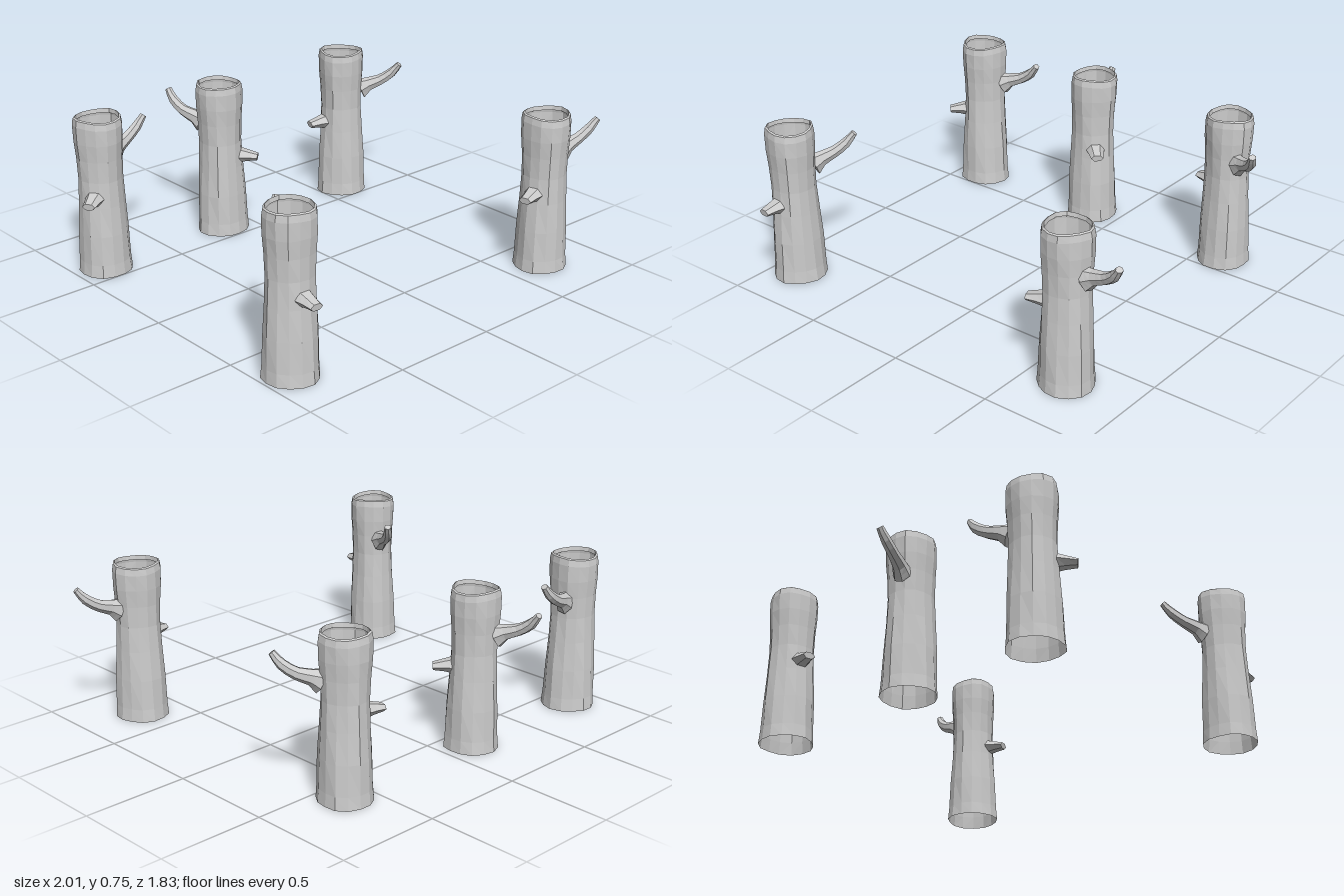
import * as THREE from 'three';

const material = new THREE.MeshStandardMaterial({ color: 0xcccccc, flatShading: true, side: THREE.DoubleSide });
const V = (x, y, z) => new THREE.Vector3(x, y, z);

// Hollow trunk: lathe with a gently irregular bark surface
function makeTrunk() {
  const profile = [
    [0.124, 0], [0.119, 0.06], [0.115, 0.2], [0.107, 0.34], [0.102, 0.46],
    [0.105, 0.56], [0.111, 0.64], [0.112, 0.72], [0.107, 0.75], [0.099, 0.755], [0.096, 0.735],
  ].map(([r, y]) => new THREE.Vector2(r, y));
  const geo = new THREE.LatheGeometry(profile, 14);
  const p = geo.attributes.position;
  for (let i = 0; i < p.count; i++) {
    const x = p.getX(i), y = p.getY(i), z = p.getZ(i), a = Math.atan2(z, x);
    const k = 1 + 0.025 * Math.sin(3 * a + 4 * y) + 0.02 * Math.cos(5 * a - 7 * y);
    const dy = y > 0.7 ? 0.004 * Math.sin(2 * a + 1) - 0.004 : 0;
    p.setXYZ(i, x * k, y + dy, z * k);
  }
  geo.computeVertexNormals();
  return geo;
}

// Limb: capped cylinder bent along a curve, with [height, width] half-sizes along it
function makeLimb(points, sizes, sides, segments) {
  const geo = new THREE.CylinderGeometry(1, 1, 1, sides, segments);
  const curve = new THREE.CatmullRomCurve3(points);
  const p = geo.attributes.position;
  for (let i = 0; i < p.count; i++) {
    const t = THREE.MathUtils.clamp(p.getY(i) + 0.5, 0, 1);
    const f = t * (sizes.length - 1), n = Math.min(Math.floor(f), sizes.length - 2);
    const size = [0, 1].map(j => THREE.MathUtils.lerp(sizes[n][j], sizes[n + 1][j], f - n));
    const tangent = curve.getTangent(t);
    const b = tangent.clone().cross(V(0, 1, 0)).normalize();
    const a = tangent.clone().cross(b);
    const pos = curve.getPoint(t)
      .addScaledVector(a, p.getX(i) * size[0])
      .addScaledVector(b, p.getZ(i) * size[1]);
    p.setXYZ(i, pos.x, pos.y, pos.z);
  }
  geo.computeVertexNormals();
  return geo;
}

export function createModel() {
  const group = new THREE.Group();
  const trunkGeo = makeTrunk();
  const branchGeo = makeLimb(
    [V(0.098, 0.54, -0.008), V(0.14, 0.56, -0.014), V(0.2, 0.58, -0.018), V(0.26, 0.62, -0.012), V(0.298, 0.668, 0)],
    [[0.058, 0.042], [0.036, 0.032], [0.028, 0.026], [0.024, 0.023], [0.015, 0.017]], 7, 8);
  const knobGeo = makeLimb(
    [V(0.095, 0.385, 0), V(0.13, 0.383, 0), V(0.18, 0.378, 0)],
    [[0.036, 0.045], [0.027, 0.037], [0.017, 0.03]], 6, 2);

  // Five trunks: x, z and heading of the branch in degrees
  const trees = [[-0.85, -0.62, 12], [-0.155, -0.625, 108], [0.625, -0.62, -38.5], [-0.865, 0.725, 60], [0.69, 0.695, -11]];
  trees.forEach(([x, z, heading], i) => {
    const tree = new THREE.Group();
    tree.name = `treeTrunk${i + 1}`;
    const add = (name, geo, angle = 0) => {
      const mesh = new THREE.Mesh(geo, material);
      mesh.name = name;
      mesh.rotation.y = THREE.MathUtils.degToRad(angle);
      tree.add(mesh);
    };
    add('trunk', trunkGeo);
    add('branch', branchGeo);
    add('knob', knobGeo, 205);
    tree.position.set(x, 0, z);
    tree.rotation.y = THREE.MathUtils.degToRad(heading);
    group.add(tree);
  });
  return group;
}
